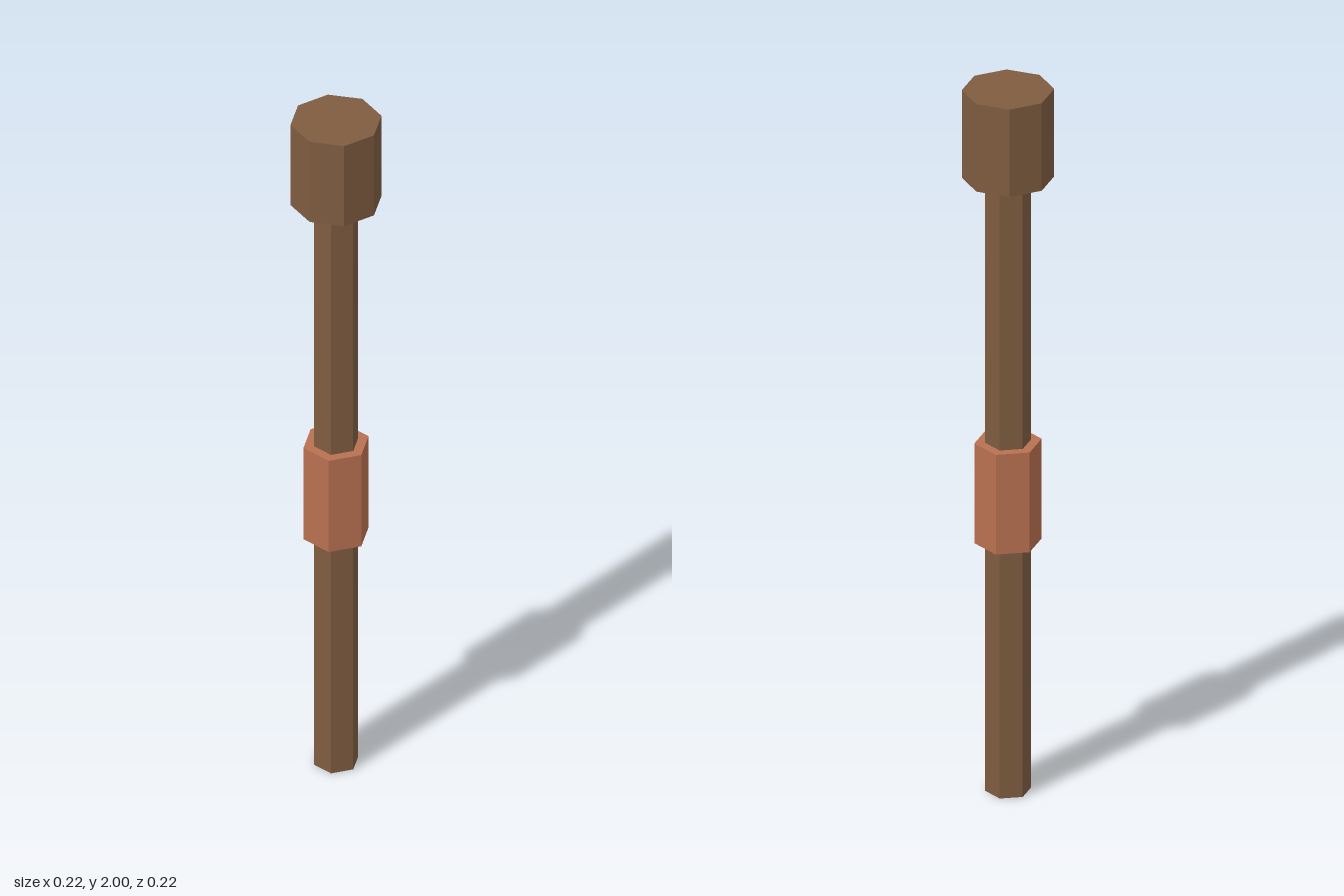
import * as THREE from 'three';

export function createModel() {
  const model = new THREE.Group();
  const wood = new THREE.MeshStandardMaterial({ color: 0x7f5c40, flatShading: true });
  wood.name = 'brown wood';
  const copper = new THREE.MeshStandardMaterial({ color: 0xb87050, flatShading: true });
  copper.name = 'copper band';

  // Upright faceted prism between two heights
  function prism(name, material, radius, bottom, top, sides, turn = 0) {
    const geometry = new THREE.CylinderGeometry(radius, radius, top - bottom, sides);
    const mesh = new THREE.Mesh(geometry, material);
    mesh.name = name;
    mesh.position.y = (bottom + top) / 2;
    mesh.rotation.y = turn;
    model.add(mesh);
  }

  // Hexagonal shaft, its corners pointing to the front and back
  prism('shaft', wood, 0.06, 0, 1.76, 6);
  // Hexagonal grip band around the middle
  prism('gripBand', copper, 0.088, 0.71, 0.995, 6);
  // Octagonal head with a flat side to the front
  prism('head', wood, 0.11 / Math.cos(Math.PI / 8), 1.75, 2, 8, Math.PI / 8);

  return model;
}
